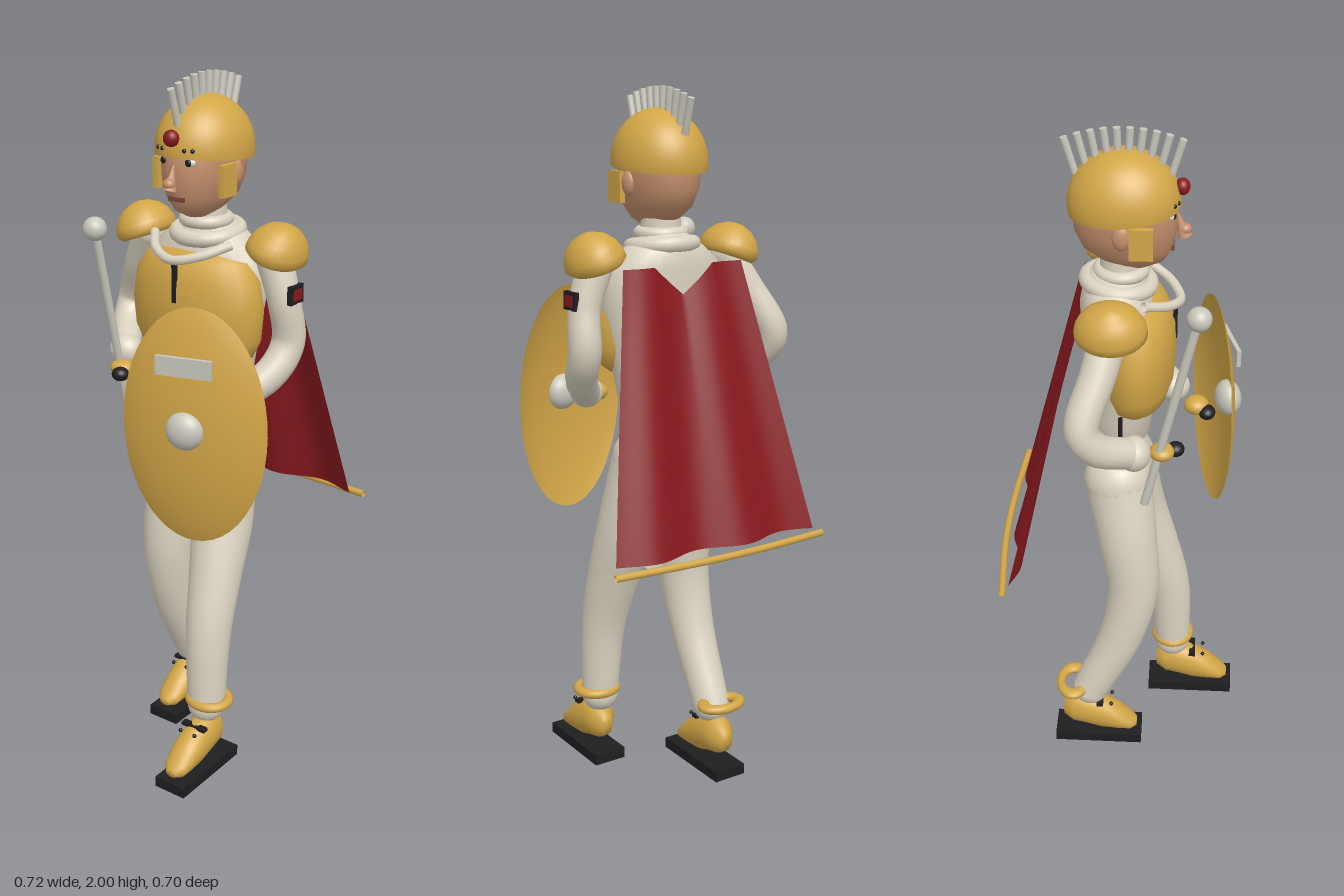
import * as THREE from 'three';
import { mergeVertices } from 'three/addons/utils/BufferGeometryUtils.js';

const material = (name, color, side = THREE.FrontSide) => {
  const m = new THREE.MeshStandardMaterial({ color, side });
  m.name = name;
  return m;
};

export function createModel() {
  const root = new THREE.Group();
  root.name = 'armouredFigure';
  const ivory = material('ivory cloth', 0xdad2c0, THREE.DoubleSide);
  const silver = material('silver', 0xc9c7bb);
  const gold = material('gold', 0xd2a647, THREE.DoubleSide);
  const red = material('red cloth', 0x8a1a1f, THREE.DoubleSide);
  const black = material('black', 0x1e1e20);
  const skin = material('skin', 0xc48f6c);
  const lip = material('lip brown', 0x7d4638);
  const eyeWhite = material('eye white', 0xe6e4dc);
  const CX = 0.012;

  const add = (name, geo, mat, pos = [0, 0, 0], parent = root) => {
    const mesh = new THREE.Mesh(geo, mat);
    mesh.name = name;
    mesh.position.set(...pos);
    parent.add(mesh);
    return mesh;
  };
  const ball = (name, mat, pos, r, parent = root) => {
    const mesh = add(name, new THREE.SphereGeometry(1, 28, 18), mat, pos, parent);
    mesh.scale.set(...r);
    return mesh;
  };
  const box = (name, mat, pos, size, parent = root) =>
    add(name, new THREE.BoxGeometry(...size), mat, pos, parent);
  const vec = p => new THREE.Vector3(...p);

  // Elliptical rings from top to bottom: [y, cx, cz, rx, rz]
  const loft = rings => {
    const n = rings.length - 1;
    let g = new THREE.CylinderGeometry(1, 1, 1, 28, n);
    const p = g.attributes.position;
    for (let i = 0; i < p.count; i++) {
      const [y, cx, cz, rx, rz] = rings[Math.round((0.5 - p.getY(i)) * n)];
      p.setXYZ(i, cx + p.getX(i) * rx, y, cz + p.getZ(i) * rz);
    }
    g.deleteAttribute('uv');
    g.deleteAttribute('normal');
    g = mergeVertices(g);
    g.computeVertexNormals();
    return g;
  };

  // Tapered tube with rounded ends: points [x, y, z, radius]
  const limb = (name, mat, pts) => {
    const curve = new THREE.CatmullRomCurve3(pts.map(vec3 => vec(vec3.slice(0, 3))));
    const radii = new THREE.CatmullRomCurve3(pts.map((q, i) => new THREE.Vector3(i, q[3], 0)));
    const seg = 32, sides = 18;
    const g = new THREE.TubeGeometry(curve, seg, 1, sides);
    const p = g.attributes.position, v = new THREE.Vector3();
    for (let i = 0; i < p.count; i++) {
      const u = Math.floor(i / (sides + 1)) / seg;
      const c = curve.getPointAt(u);
      v.fromBufferAttribute(p, i).sub(c).multiplyScalar(radii.getPoint(curve.getUtoTmapping(u)).y).add(c);
      p.setXYZ(i, v.x, v.y, v.z);
    }
    add(name, g, mat);
    for (const q of [pts[0], pts[pts.length - 1]]) ball(name + 'End', mat, q.slice(0, 3), [q[3], q[3], q[3]]);
  };
  const rod = (name, mat, a, b, r) => {
    const A = vec(a), B = vec(b), d = B.clone().sub(A);
    const mesh = add(name, new THREE.CylinderGeometry(r, r, d.length(), 12), mat);
    mesh.position.copy(A).add(B).multiplyScalar(0.5);
    mesh.quaternion.setFromUnitVectors(new THREE.Vector3(0, 1, 0), d.normalize());
  };

  // Torso and pelvis
  add('torso', loft([
    [1.61, CX, -0.02, 0.06, 0.065], [1.57, CX, -0.02, 0.12, 0.085], [1.52, CX, -0.015, 0.18, 0.1],
    [1.42, CX, -0.005, 0.19, 0.105], [1.3, CX, -0.005, 0.165, 0.105], [1.2, CX, -0.01, 0.145, 0.098],
    [1.12, CX, -0.01, 0.13, 0.088], [1.08, CX, -0.01, 0.1, 0.06]]), ivory);
  ball('pelvis', ivory, [CX, 0.98, -0.008], [0.14, 0.13, 0.095]);

  // Breastplate with a centre seam
  add('breastplate', loft([
    [1.535, CX, 0.03, 0.1, 0.05], [1.515, CX, 0.03, 0.16, 0.085], [1.46, CX, 0.035, 0.195, 0.105],
    [1.38, CX, 0.035, 0.207, 0.11], [1.3, CX, 0.035, 0.2, 0.105], [1.25, CX, 0.035, 0.175, 0.09],
    [1.225, CX, 0.035, 0.14, 0.065]]), gold);
  box('chestSeam', black, [CX, 1.46, 0.14], [0.012, 0.11, 0.012]);
  box('sideSeam', black, [-0.135, 1.16, 0.0], [0.01, 0.16, 0.012]);

  // Neck and collars
  add('neck', new THREE.CylinderGeometry(0.055, 0.06, 0.1, 24), ivory, [CX, 1.6, -0.005]);
  const neckRing = add('neckCollar', new THREE.TorusGeometry(0.058, 0.018, 12, 32), ivory, [CX, 1.608, -0.005]);
  neckRing.rotation.x = Math.PI / 2;
  const baseRing = add('backCollar', new THREE.TorusGeometry(0.085, 0.022, 12, 32), ivory, [CX, 1.575, -0.012]);
  baseRing.rotation.x = Math.PI / 2 + 0.1;
  const lapel = new THREE.CatmullRomCurve3(
    [[-0.115, 1.565, 0.06], [-0.06, 1.54, 0.125], [CX, 1.525, 0.153], [0.085, 1.54, 0.125], [0.14, 1.565, 0.06]].map(vec));
  add('frontCollar', new THREE.TubeGeometry(lapel, 24, 0.013, 10), ivory);

  // Head and face
  add('head', loft([
    [1.89, CX, 0, 0.06, 0.07], [1.84, CX, 0, 0.1, 0.125], [1.78, CX, 0.005, 0.105, 0.135],
    [1.73, CX, 0.005, 0.1, 0.134], [1.68, CX, 0.012, 0.084, 0.118], [1.645, CX, 0.025, 0.056, 0.085],
    [1.625, CX, 0.025, 0.03, 0.045]]), skin);
  const nose = add('nose', new THREE.ConeGeometry(0.02, 0.075, 12), skin, [CX, 1.745, 0.148]);
  nose.rotation.x = -0.3;
  ball('noseTip', skin, [CX, 1.728, 0.16], [0.017, 0.015, 0.017]);
  box('mouth', lip, [CX, 1.683, 0.129], [0.05, 0.012, 0.008]);
  for (const s of [-1, 1]) {
    const side = s < 0 ? 'right' : 'left';
    ball(side + 'Eye', eyeWhite, [CX + s * 0.04, 1.783, 0.124], [0.018, 0.011, 0.009]);
    ball(side + 'Pupil', black, [CX + s * 0.04, 1.783, 0.13], [0.01, 0.01, 0.007]);
    const brow = box(side + 'Brow', black, [CX + s * 0.042, 1.805, 0.128], [0.038, 0.007, 0.008]);
    brow.rotation.y = s * 0.3;
    ball(side + 'Ear', skin, [CX + s * 0.1, 1.745, 0], [0.016, 0.035, 0.024]);
    box(side + 'CheekGuard', gold, [CX + s * 0.108, 1.733, 0.05], [0.016, 0.085, 0.062]);
  }

  // Helmet with gem, rivets and a fan of plumes
  const dome = add('helmet', new THREE.SphereGeometry(1, 36, 18, 0, Math.PI * 2, 0, Math.PI * 0.54), gold, [CX, 1.8, 0.002]);
  dome.scale.set(0.127, 0.142, 0.147);
  dome.rotation.x = -0.08;
  ball('browGem', red, [CX, 1.845, 0.15], [0.022, 0.022, 0.02]);
  for (const x of [-0.055, -0.035, 0.035, 0.055])
    ball('helmetRivet', black, [CX + x, 1.815, 0.146 * Math.sqrt(1 - (x / 0.127) ** 2)], [0.006, 0.006, 0.006]);
  for (let i = 0; i < 10; i++) {
    const t = i / 4.5 - 1;
    rod('plume', silver, [CX, 1.925 - 0.05 * t * t, 0.122 * t], [CX, 1.998 - 0.028 * t * t, 0.15 * t], 0.01);
  }

  // Arms, gloves and shoulder guards
  limb('rightArm', ivory, [[-0.19, 1.54, -0.02, 0.05], [-0.25, 1.44, -0.05, 0.048], [-0.315, 1.31, -0.09, 0.046],
    [-0.308, 1.25, -0.055, 0.045], [-0.245, 1.195, 0.035, 0.042]]);
  limb('leftArm', ivory, [[0.225, 1.54, -0.012, 0.05], [0.262, 1.42, -0.012, 0.045], [0.27, 1.3, -0.025, 0.046],
    [0.25, 1.22, 0.03, 0.045], [0.175, 1.15, 0.135, 0.042]]);
  ball('rightCuff', ivory, [-0.24, 1.193, 0.042], [0.05, 0.048, 0.045]);
  ball('leftCuff', ivory, [0.17, 1.15, 0.14], [0.048, 0.045, 0.045]);
  ball('rightHand', gold, [-0.195, 1.17, 0.115], [0.036, 0.022, 0.034]);
  ball('rightFingers', black, [-0.173, 1.165, 0.152], [0.025, 0.02, 0.024]);
  ball('leftHand', gold, [0.102, 1.13, 0.205], [0.036, 0.026, 0.036]);
  ball('leftFingers', black, [0.08, 1.12, 0.236], [0.028, 0.02, 0.024]);
  for (const [name, x, s] of [['rightShoulderGuard', -0.205, -1], ['leftShoulderGuard', 0.23, 1]]) {
    const guard = add(name, loft([[1, 0, 0, 0.02, 0.02], [0.96, 0, 0, 0.28, 0.28], [0.8, 0, 0, 0.6, 0.6],
      [0.55, 0, 0, 0.84, 0.84], [0.25, 0, 0, 0.97, 0.97], [0, 0, 0, 1, 1], [-0.15, 0, 0, 0.85, 0.85]]), gold, [x, 1.54, -0.02]);
    guard.scale.set(0.082, 0.085, 0.095);
    guard.rotation.z = -s * 0.35;
  }
  box('armBadge', black, [0.3, 1.443, -0.008], [0.014, 0.05, 0.058]);
  box('armBadgeInset', red, [0.306, 1.443, -0.008], [0.008, 0.03, 0.038]);

  // Legs
  limb('leftLeg', ivory, [[0.065, 0.97, -0.008, 0.097], [0.1, 0.76, 0.035, 0.09], [0.115, 0.6, 0.09, 0.077],
    [0.125, 0.43, 0.138, 0.066], [0.13, 0.2, 0.155, 0.055]]);
  limb('rightLeg', ivory, [[-0.045, 0.97, -0.012, 0.097], [-0.083, 0.78, 0.018, 0.086], [-0.095, 0.6, 0.035, 0.076],
    [-0.103, 0.42, 0.0, 0.066], [-0.108, 0.2, -0.095, 0.055]]);
  const pouch = add('thighPouch', new THREE.CylinderGeometry(0.014, 0.036, 0.13, 4), ivory, [0.05, 0.71, -0.01]);
  pouch.rotation.y = Math.PI / 4;

  // Shoes, soles, straps and anklets
  const shoe = loft([
    [0.13, 0, -0.055, 0.018, 0.012], [0.11, 0, -0.06, 0.036, 0.025], [0.07, 0, -0.08, 0.045, 0.045],
    [0.02, 0, -0.098, 0.046, 0.062], [-0.03, 0, -0.113, 0.046, 0.062], [-0.07, 0, -0.115, 0.042, 0.055],
    [-0.1, 0, -0.11, 0.02, 0.03]]).rotateX(Math.PI / 2);
  for (const [side, x, z] of [['left', 0.135, 0.205], ['right', -0.108, -0.08]]) {
    add(side + 'Shoe', shoe, gold, [x, 0, z]);
    box(side + 'Sole', black, [x + 0.005, 0.018, z + 0.01], [0.102, 0.032, 0.27]);
    box(side + 'Strap', black, [x, 0.155, z + 0.015], [0.08, 0.01, 0.02]);
    for (const s of [-1, 1]) ball(side + 'Lace', black, [x + s * 0.025, 0.15, z + 0.05], [0.006, 0.006, 0.006]);
  }
  for (const [name, x, z, r] of [['leftAnklet', 0.14, 0.155, 0.053], ['rightAnklet', -0.108, -0.148, 0.04]]) {
    const ring = add(name, new THREE.TorusGeometry(r, 0.014, 12, 32), gold, [x, 0.22, z]);
    ring.rotation.x = Math.PI / 2;
    ring.scale.x = 0.058 / r;
  }

  // Mace
  rod('maceShaft', silver, [-0.21, 1.58, 0.2], [-0.21, 1.005, 0.07], 0.012);
  ball('maceKnob', silver, [-0.208, 1.587, 0.203], [0.033, 0.033, 0.033]);

  // Curved oval shield
  const shield = new THREE.Group();
  shield.name = 'shield';
  shield.position.set(0.159, 1.113, 0.25);
  shield.rotation.y = 0.27;
  root.add(shield);
  const cap = new THREE.SphereGeometry(1, 48, 12, 0, Math.PI * 2, 0, 0.9).rotateX(Math.PI / 2);
  cap.translate(0, 0, -Math.cos(0.9)).scale(0.204 / Math.sin(0.9), 0.332 / Math.sin(0.9), 0.13);
  add('shieldPlate', cap, gold, [0, 0, 0], shield);
  ball('shieldBoss', silver, [-0.01, 0.007, 0.045], [0.053, 0.053, 0.038], shield);
  box('shieldBar', silver, [-0.012, 0.183, 0.047], [0.155, 0.052, 0.012], shield);

  // Cape with folds, hung in front of a bottom rod
  const cape = new THREE.PlaneGeometry(1, 1, 48, 16);
  const p = cape.attributes.position;
  for (let i = 0; i < p.count; i++) {
    const u = p.getX(i), v = 0.5 - p.getY(i);
    const x = CX + u * 2 * (0.19 + 0.132 * v);
    const dip = 0.08 * (1 - v) * Math.max(0, 1 - Math.abs(u) * 4);
    const fold = (0.005 + 0.014 * v) * Math.cos((u + 0.13) * 14);
    p.setXYZ(i, x, 1.53 - 0.755 * v - dip, -0.118 - 0.178 * v - fold);
  }
  cape.computeVertexNormals();
  add('cape', cape, red);
  const hem = new THREE.CatmullRomCurve3(
    [[-0.33, 0.763, -0.32], [-0.1, 0.763, -0.338], [0.1, 0.763, -0.338], [0.36, 0.763, -0.32]].map(vec));
  add('capeRod', new THREE.TubeGeometry(hem, 24, 0.01, 10), gold);

  return root;
}
